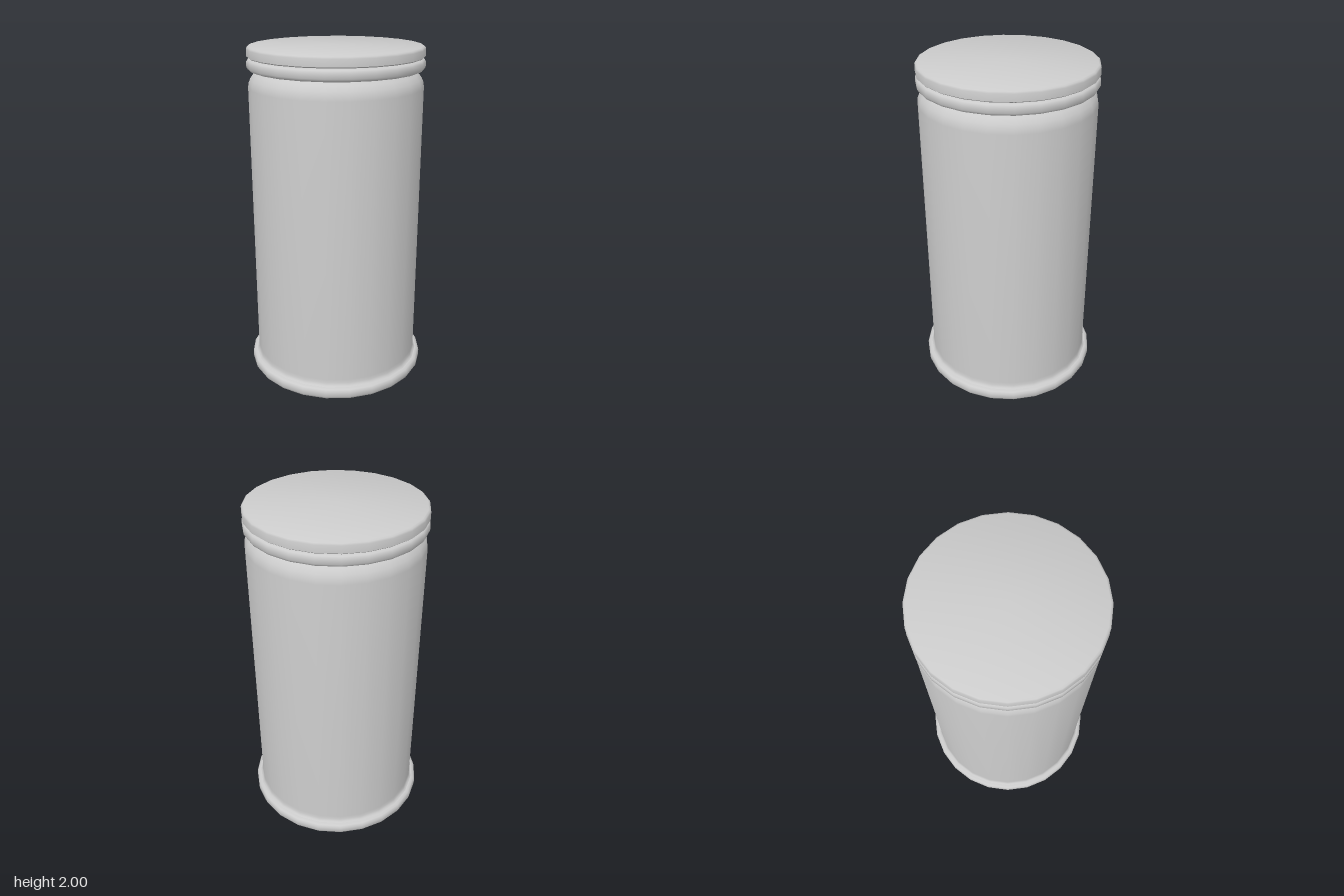
import * as THREE from 'three';
import { toCreasedNormals } from 'three/addons/utils/BufferGeometryUtils.js';

const SIDES = 24;

// Each part is a [radius, height] profile, listed bottom to top, turned about y.
const parts = {
  baseRim: [[0, 0], [0.525, 0], [0.537, 0.004], [0.545, 0.018], [0.545, 0.048], [0.537, 0.062], [0.522, 0.068], [0.5, 0.068]],
  // straight wall with a small foot flare and a rounded shoulder into the neck
  body: [[0.52, 0.067], [0.511, 0.074], [0.506, 0.09], [0.505, 0.11], [0.505, 1.77], [0.502, 1.795], [0.492, 1.82],
    [0.474, 1.845], [0.45, 1.865], [0.45, 1.95]],
  neckRing: [[0.44, 1.868], [0.492, 1.868], [0.503, 1.873], [0.51, 1.885], [0.51, 1.915], [0.503, 1.927], [0.492, 1.932], [0.44, 1.932]],
  lid: [[0, 1.938], [0.5, 1.938], [0.508, 1.944], [0.508, 1.985], [0.504, 1.995], [0.494, 2], [0, 2]],
};

export function createModel() {
  const group = new THREE.Group();
  group.name = 'canister';
  const material = new THREE.MeshStandardMaterial({ color: 0xcccccc, side: THREE.DoubleSide });
  for (const [name, profile] of Object.entries(parts)) {
    const points = profile.map(([r, y]) => new THREE.Vector2(r, y));
    const geometry = toCreasedNormals(new THREE.LatheGeometry(points, SIDES), 0.75);
    const mesh = new THREE.Mesh(geometry, material);
    mesh.name = name;
    group.add(mesh);
  }
  return group;
}
